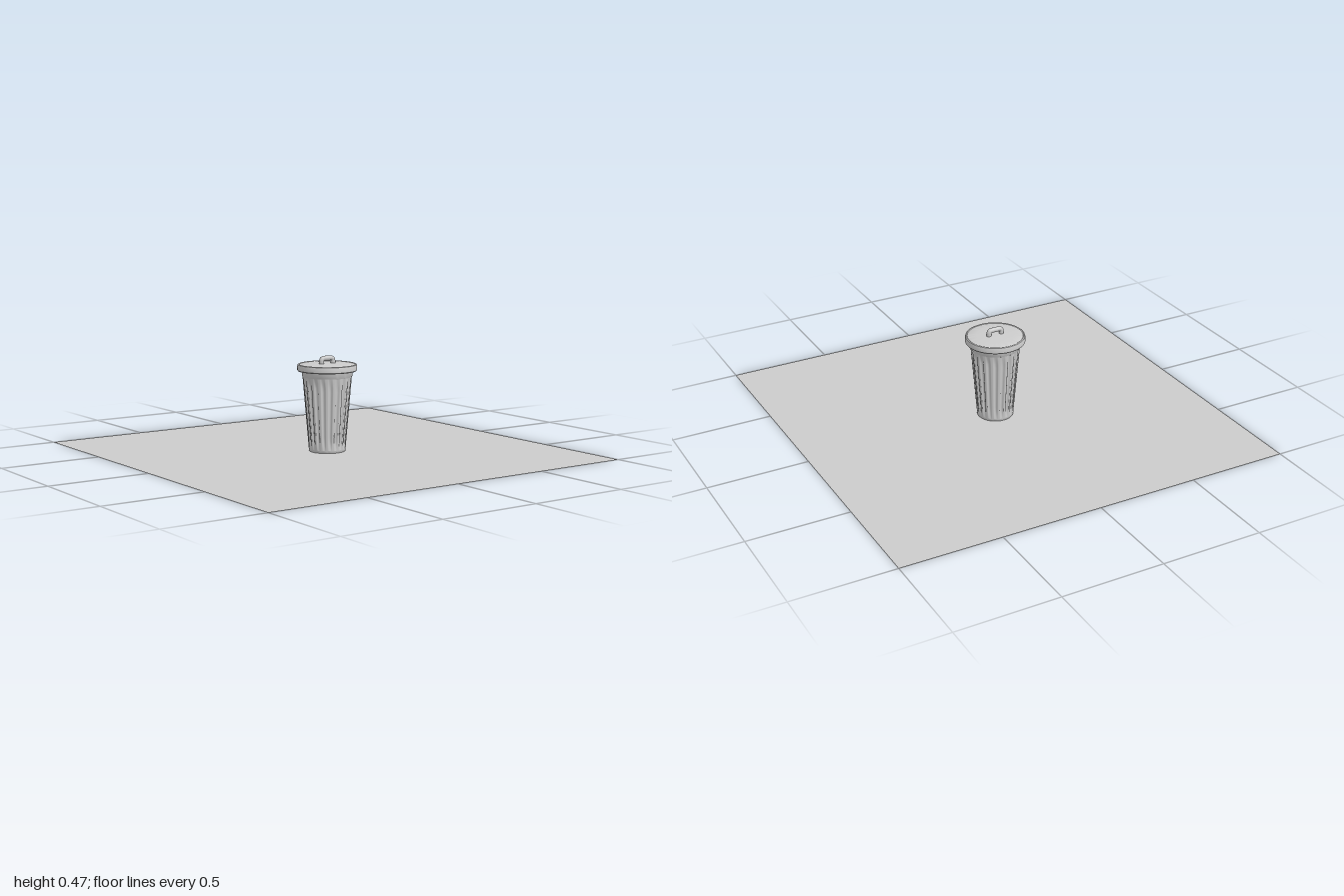
import * as THREE from 'three';
import { toCreasedNormals } from 'three/addons/utils/BufferGeometryUtils.js';

const material = new THREE.MeshStandardMaterial({ color: 0xcccccc, side: THREE.DoubleSide });

function addMesh(group, name, geometry) {
  const mesh = new THREE.Mesh(geometry, material);
  mesh.name = name;
  group.add(mesh);
  return mesh;
}

// Revolve [radius, height] pairs, listed from the bottom up
function revolve(profile, segments = 64) {
  return new THREE.LatheGeometry(profile.map(([r, y]) => new THREE.Vector2(r, y)), segments);
}

// Tapered wall whose grooves fade out towards both ends
function flutedWall(y0, y1, r0, r1, flutes, depth) {
  const rows = 16;
  const profile = [];
  for (let i = 0; i <= rows; i++) {
    const t = i / rows;
    profile.push([r0 + (r1 - r0) * t, y0 + (y1 - y0) * t]);
  }
  const geometry = revolve(profile, flutes * 10);
  const p = geometry.attributes.position;
  for (let i = 0; i < p.count; i++) {
    const x = p.getX(i), z = p.getZ(i);
    const t = (p.getY(i) - y0) / (y1 - y0);
    const fade = THREE.MathUtils.smoothstep(Math.min(t, 1 - t), 0, 0.12);
    const wave = 0.5 - 0.5 * Math.cos(Math.atan2(x, z) * flutes);
    const groove = THREE.MathUtils.smoothstep(wave, 0.3, 0.9);
    const k = 1 - depth * fade * groove / Math.hypot(x, z);
    p.setX(i, x * k);
    p.setZ(i, z * k);
  }
  geometry.computeVertexNormals();
  return geometry;
}

export function createModel() {
  const model = new THREE.Group();
  model.name = 'trashCan';

  // Flat square the can stands on
  addMesh(model, 'basePlane', new THREE.PlaneGeometry(2, 2).rotateX(-Math.PI / 2));

  // Can: bottom with foot band, fluted wall, plain neck band
  const can = new THREE.Group();
  can.name = 'can';
  model.add(can);
  addMesh(can, 'footBand', toCreasedNormals(revolve([
    [0, 0.001], [0.088, 0.001], [0.09, 0.004], [0.091, 0.014],
  ]), 0.6));
  addMesh(can, 'flutedWall', flutedWall(0.014, 0.37, 0.091, 0.121, 20, 0.008));
  addMesh(can, 'neckBand', toCreasedNormals(revolve([
    [0.121, 0.37], [0.124, 0.375], [0.126, 0.41], [0.12, 0.41],
  ]), 0.6));

  // Lid with a rolled skirt and a slightly domed top
  const lid = new THREE.Group();
  lid.name = 'lid';
  model.add(lid);
  addMesh(lid, 'lidShell', toCreasedNormals(revolve([
    [0, 0.418], [0.137, 0.413], [0.139, 0.4], [0.144, 0.399], [0.147, 0.403],
    [0.147, 0.424], [0.145, 0.43], [0.14, 0.433], [0.136, 0.43], [0.09, 0.433],
    [0.045, 0.435], [0, 0.436],
  ]), 0.6));

  // Arched handle with rounded corners
  const path = new THREE.CurvePath();
  const v = (x, y) => new THREE.Vector3(x, y, 0);
  path.add(new THREE.LineCurve3(v(-0.034, 0.428), v(-0.034, 0.446)));
  path.add(new THREE.QuadraticBezierCurve3(v(-0.034, 0.446), v(-0.034, 0.461), v(-0.019, 0.461)));
  path.add(new THREE.LineCurve3(v(-0.019, 0.461), v(0.019, 0.461)));
  path.add(new THREE.QuadraticBezierCurve3(v(0.019, 0.461), v(0.034, 0.461), v(0.034, 0.446)));
  path.add(new THREE.LineCurve3(v(0.034, 0.446), v(0.034, 0.428)));
  addMesh(lid, 'handle', new THREE.TubeGeometry(path, 48, 0.012, 14));

  return model;
}
